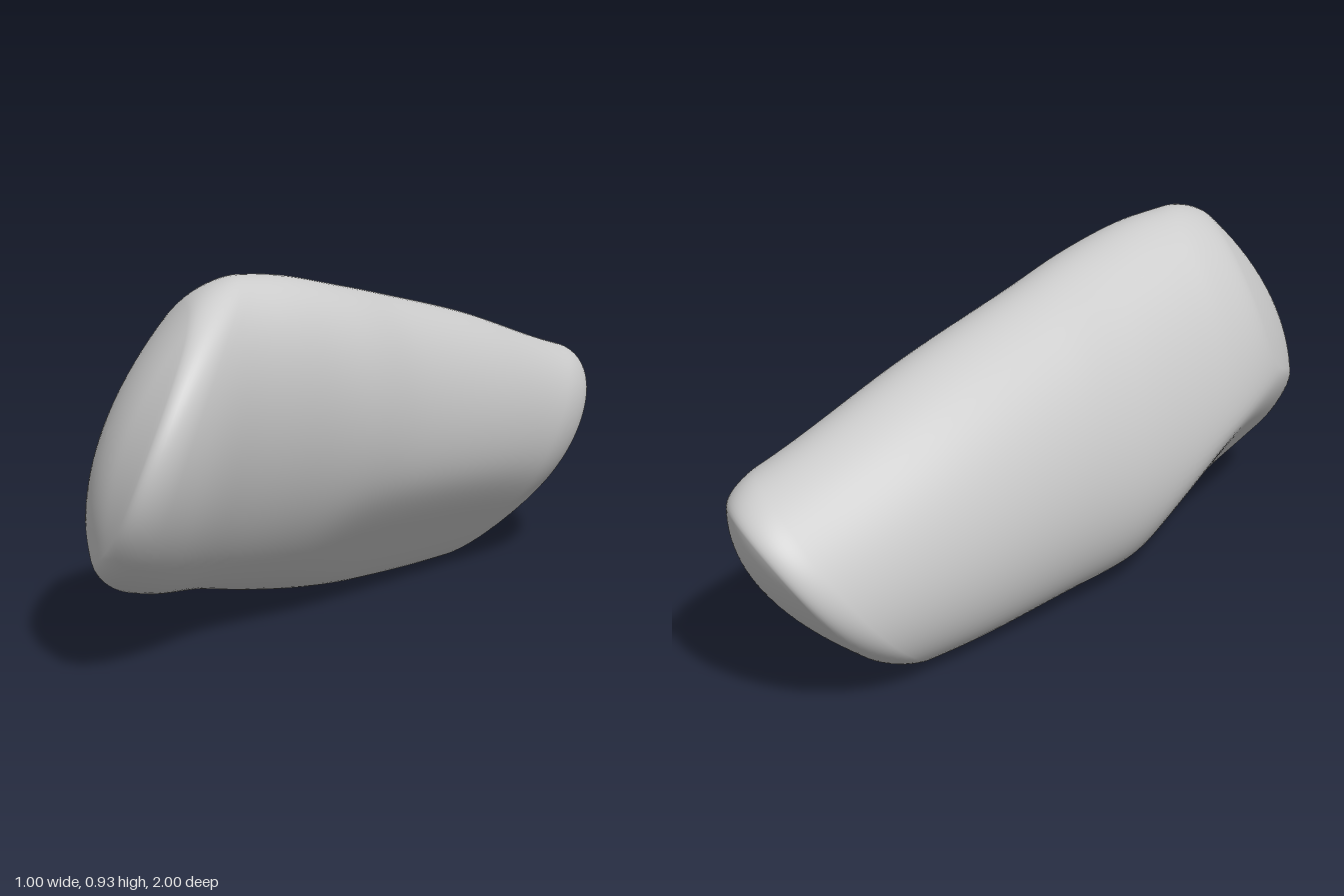
import * as THREE from 'three';

// Sections along the length:
// z, left, right, bottom, top, lean of the oval, reach of the flattened lower flank
const STATIONS = [
  [-1.1, -0.57, -0.09, 0.05, 0.53, 0.2, 0.6],
  [-0.8, -0.505, 0.0, 0.015, 0.612, 0.21, 0.5],
  [-0.4, -0.42, 0.155, 0.0, 0.737, 0.22, 0.4],
  [0.0, -0.305, 0.292, 0.018, 0.835, 0.25, 0.2],
  [0.2, -0.25, 0.355, 0.037, 0.88, 0.32, 0.08],
  [0.4, -0.185, 0.38, 0.068, 0.922, 0.37, -0.05],
  [0.6, -0.12, 0.408, 0.108, 0.94, 0.33, -0.175],
  [0.8, -0.06, 0.482, 0.155, 0.965, 0.15, -0.27],
  [0.95, -0.03, 0.52, 0.2, 0.975, 0.08, -0.335],
  [1.1, 0.0, 0.53, 0.24, 0.985, 0.0, -0.385],
];
const AROUND = 96;
const LOWER_FLANK = new THREE.Vector2(-0.745, -0.667);
const UNDERSIDE = new THREE.Vector2(0.763, -0.646);

// Smooth interpolation of the section values
function sectionAt(z) {
  const n = STATIONS.length;
  let i = 0;
  while (i < n - 2 && z > STATIONS[i + 1][0]) i++;
  const p = STATIONS[i], q = STATIONS[i + 1];
  const f = THREE.MathUtils.clamp((z - p[0]) / (q[0] - p[0]), 0, 1);
  const slope = (k, c) => {
    const a = STATIONS[Math.max(k - 1, 0)], b = STATIONS[Math.min(k + 1, n - 1)];
    return (b[c] - a[c]) / (b[0] - a[0]);
  };
  const h = q[0] - p[0], f2 = f * f, f3 = f2 * f;
  return [1, 2, 3, 4, 5, 6].map((c) =>
    (2 * f3 - 3 * f2 + 1) * p[c] + (f3 - 2 * f2 + f) * h * slope(i, c) +
    (3 * f2 - 2 * f3) * q[c] + (f3 - f2) * h * slope(i + 1, c));
}

// Softly flatten a side so that it stays within its reach
function flatten(p, normal, reach) {
  const excess = p.dot(normal) - reach;
  p.addScaledVector(normal, -(excess + Math.sqrt(excess * excess + 0.001)) / 2);
}

// Point on the section at z, shrunk towards its centre by k
function sectionPoint(t, z, k = 1) {
  const [l, r, b, top, lean, reach] = sectionAt(z);
  const centre = new THREE.Vector2((l + r) / 2, (b + top) / 2);
  const p = new THREE.Vector2(
    centre.x + (r - l) / 2 * Math.cos(t),
    centre.y + (top - b) / 2 * Math.sin(t + lean));
  flatten(p, LOWER_FLANK, reach);
  flatten(p, UNDERSIDE, 0.18 * z - 0.012);
  p.lerp(centre, 1 - k);
  return new THREE.Vector3(p.x, p.y, z);
}

// Curved end faces: depth over the face, edge radius and its share of the section
const FRONT = {
  z: (x, y) => 1 - Math.max(0, y - 0.35) ** 2 - 1.5 * Math.max(0, 0.36 - x) ** 2,
  radius: 0.1, inset: 0.18, sign: 1,
};
const BACK = {
  z: (x, y) => -1 + 1.9 * Math.max(0, 0.5 - y) ** 2 + 1.8 * (x + 0.3) ** 2,
  radius: 0.08, inset: 0.16, sign: -1,
};

// Point of an end, found by sliding along the length until it meets the face
function endPoint(end, t, k, drop) {
  let p = sectionPoint(t, end.sign * 0.8, k);
  for (let i = 0; i < 25; i++) p = sectionPoint(t, end.z(p.x, p.y) - end.sign * drop, k);
  return p;
}

const angles = Array.from({ length: AROUND }, (_, j) => j / AROUND * Math.PI * 2);

// Rows from the rim of an end, over its rounded edge, to the middle of its face
function endRows(end) {
  const rows = [];
  for (let i = 0; i <= 10; i++) {
    const a = i / 10 * Math.PI / 2;
    const k = 1 - end.inset * (1 - Math.cos(a));
    rows.push(angles.map((t) => endPoint(end, t, k, end.radius * (1 - Math.sin(a)))));
  }
  for (let i = 1; i <= 12; i++) {
    const k = (1 - end.inset) * (1 - i / 12);
    rows.push(angles.map((t) => endPoint(end, t, k, 0)));
  }
  return rows;
}

function stoneGeometry() {
  const back = endRows(BACK).reverse(), front = endRows(FRONT);
  const from = back[back.length - 1], to = front[0], sides = [];
  for (let i = 1; i < 48; i++) {
    sides.push(angles.map((t, j) =>
      sectionPoint(t, THREE.MathUtils.lerp(from[j].z, to[j].z, i / 48))));
  }
  const rows = [...back, ...sides, ...front];
  const index = [];
  for (let i = 0; i < rows.length - 1; i++) {
    for (let j = 0; j < AROUND; j++) {
      const a = i * AROUND + j, b = i * AROUND + (j + 1) % AROUND;
      index.push(a, b, a + AROUND, b, b + AROUND, a + AROUND);
    }
  }
  const geometry = new THREE.BufferGeometry().setFromPoints(rows.flat());
  geometry.setIndex(index);
  geometry.computeVertexNormals();
  return geometry;
}

export function createModel() {
  const group = new THREE.Group();
  group.name = 'stone';
  const body = new THREE.Mesh(stoneGeometry(), new THREE.MeshStandardMaterial({ color: 0xcccccc }));
  body.name = 'stoneBody';
  group.add(body);
  return group;
}
